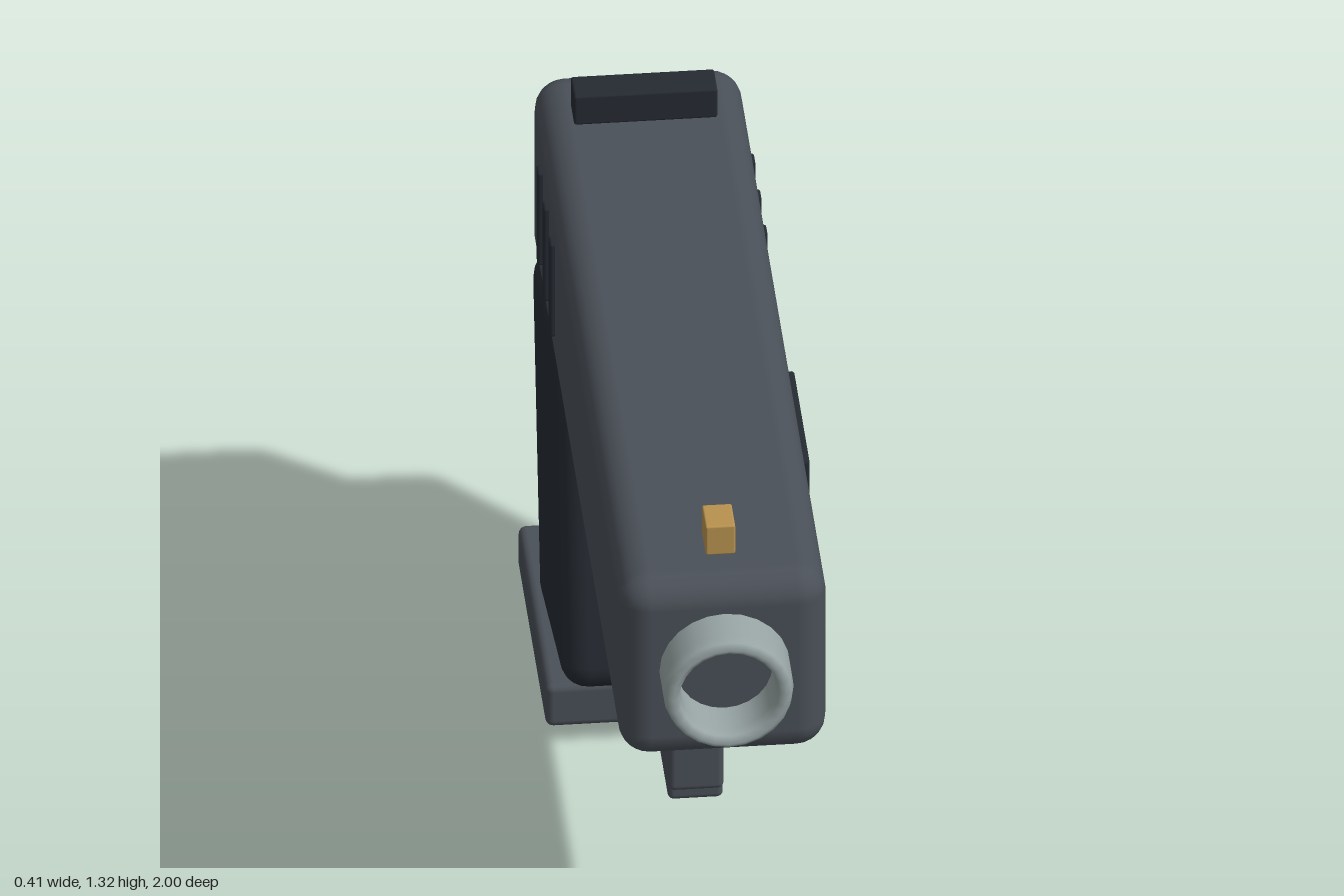
import * as THREE from 'three';
import { RoundedBoxGeometry } from 'three/addons/geometries/RoundedBoxGeometry.js';

const paint = (color) => new THREE.MeshStandardMaterial({ color });

export function createModel() {
  const model = new THREE.Group();
  const steel = paint(0x4a5058);
  const black = paint(0x252a31);
  const brown = paint(0x8b6a4c);
  const silver = paint(0x98a4a4);
  const brass = paint(0xb8924f);

  const add = (name, geometry, material, x, y, z, tilt = 0) => {
    const mesh = new THREE.Mesh(geometry, material);
    mesh.name = name;
    mesh.position.set(x, y, z);
    mesh.rotation.x = tilt;
    model.add(mesh);
    return mesh;
  };
  // Rounded block given by its limits on each axis
  const block = (name, material, [x0, x1], [y0, y1], [z0, z1], radius) =>
    add(name, new RoundedBoxGeometry(x1 - x0, y1 - y0, z1 - z0, 3, radius), material,
      (x0 + x1) / 2, (y0 + y1) / 2, (z0 + z1) / 2);

  // Upper body and frame
  block('slide', steel, [-0.195, 0.195], [0.84, 1.24], [-0.835, 0.9], 0.058);
  block('frame', brown, [-0.17, 0.17], [0.69, 0.89], [-0.835, 0.385], 0.045);

  // Hollow barrel end with a rounded lip
  const profile = [
    [0.09, 0], [0.09, 0.17], [0.094, 0.19], [0.106, 0.2], [0.118, 0.19], [0.123, 0.17], [0.123, 0],
  ].map(([r, h]) => new THREE.Vector2(r, h)).reverse();
  const barrelMaterial = silver.clone();
  barrelMaterial.side = THREE.DoubleSide;
  add('barrel', new THREE.LatheGeometry(profile, 24), barrelMaterial, 0, 1.048, 0.8, Math.PI / 2);

  // Sights
  block('frontSight', brass, [-0.028, 0.028], [1.25, 1.315], [0.745, 0.82], 0.004);
  block('rearSight', black, [-0.135, 0.135], [1.245, 1.31], [-0.7, -0.63], 0.005);

  // Side port on the left, and rear grooves on both sides
  block('sidePort', black, [0.17, 0.205], [1.025, 1.19], [0.135, 0.44], 0.006);
  for (const side of [-1, 1]) {
    for (const z of [-0.395, -0.513, -0.632]) {
      add('rearGroove', new RoundedBoxGeometry(0.03, 0.21, 0.032, 2, 0.005), black, side * 0.19, 1.045, z);
    }
  }

  // Slanted grip, its side panel and the base plate
  add('grip', new RoundedBoxGeometry(0.372, 0.72, 0.5, 3, 0.052), black, 0, 0.465, -0.637, -0.22);
  add('gripPanel', new RoundedBoxGeometry(0.035, 0.528, 0.302, 2, 0.01), brown, 0.188, 0.445, -0.625, -0.22);
  block('basePlate', steel, [-0.205, 0.205], [0, 0.095], [-1, -0.455], 0.015);

  // Trigger and guard
  block('guardPost', steel, [-0.052, 0.052], [0.395, 0.73], [0.265, 0.352], 0.012);
  block('guardBar', steel, [-0.052, 0.052], [0.365, 0.455], [-0.272, 0.337], 0.012);
  add('trigger', new THREE.CylinderGeometry(0.041, 0.041, 0.25, 16), silver, 0, 0.65, -0.053, 0.3);

  return model;
}
